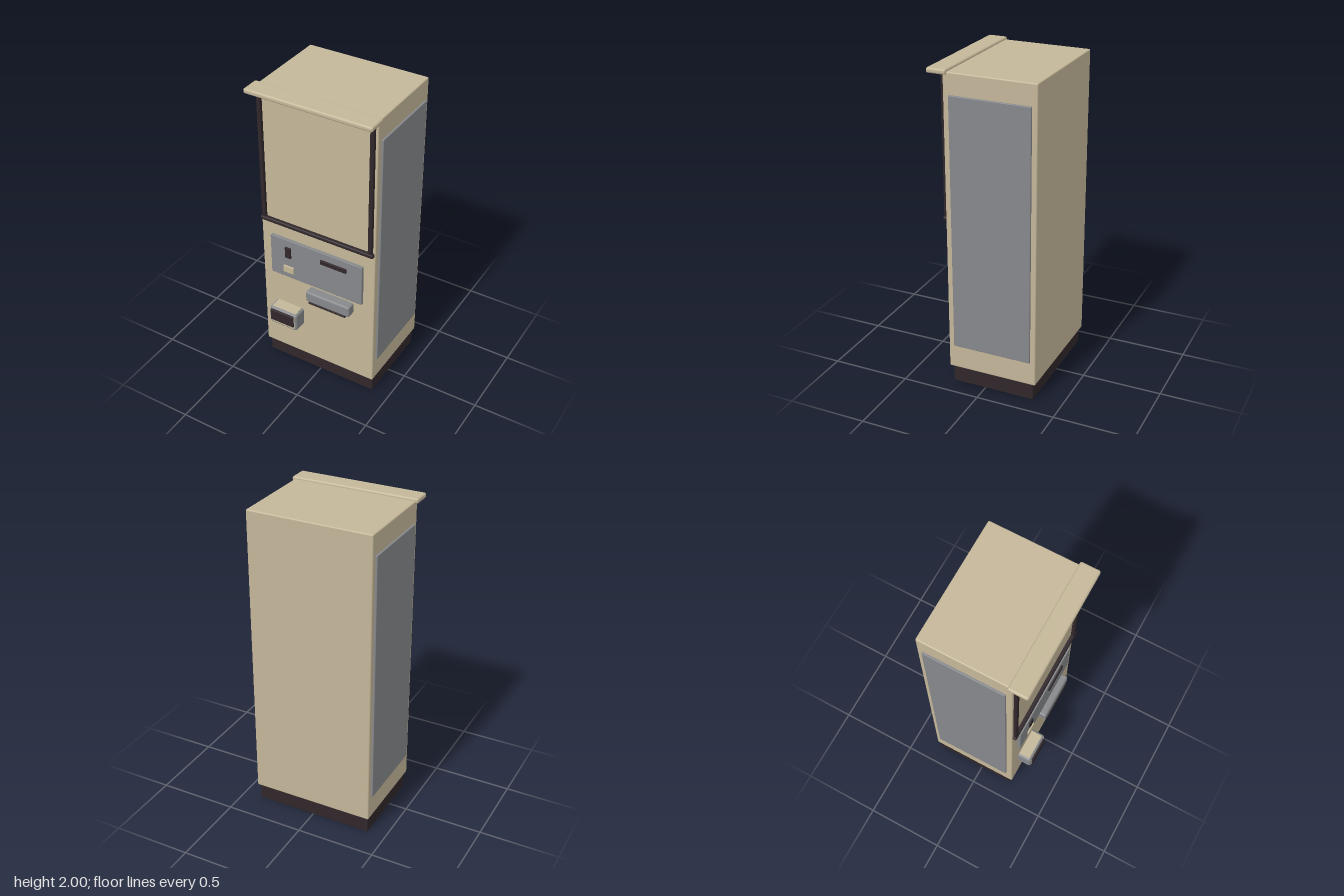
import * as THREE from 'three';
import { RoundedBoxGeometry } from 'three/addons/geometries/RoundedBoxGeometry.js';

function material(name, color) {
  const m = new THREE.MeshStandardMaterial({ color });
  m.name = name;
  return m;
}

export function createModel() {
  const group = new THREE.Group();
  group.name = 'vendingMachine';
  const cream = material('cream', 0xc4b799);
  const grey = material('grey', 0x86888b);
  const dark = material('darkBrown', 0x30272a);

  // Box given by its extents on each axis, with optional rounded edges
  function box(name, mat, [x0, x1], [y0, y1], [z0, z1], radius = 0) {
    const size = [x1 - x0, y1 - y0, z1 - z0];
    const geometry = radius
      ? new RoundedBoxGeometry(...size, 2, radius)
      : new THREE.BoxGeometry(...size);
    const mesh = new THREE.Mesh(geometry, mat);
    mesh.name = name;
    mesh.position.set((x0 + x1) / 2, (y0 + y1) / 2, (z0 + z1) / 2);
    group.add(mesh);
    return mesh;
  }

  // Cabinet, plinth and overhanging canopy
  box('plinth', dark, [-0.382, 0.382], [0, 0.112], [-0.317, 0.216], 0.004);
  box('cabinet', cream, [-0.393, 0.393], [0.107, 1.985], [-0.335, 0.238], 0.008);
  box('canopy', cream, [-0.408, 0.408], [1.968, 2], [0.212, 0.335], 0.012);

  // Side panels and display frame uprights
  for (const [side, s] of [['left', 1], ['right', -1]]) {
    const span = (a, b) => (s > 0 ? [a, b] : [-b, -a]);
    box(side + 'SidePanel', grey, span(0.385, 0.405), [0.262, 1.855], [-0.302, 0.2], 0.004);
    box(side + 'FrameUpright', dark, span(0.352, 0.378), [1.09, 1.972], [0.23, 0.258], 0.004);
  }
  box('frameSill', dark, [-0.388, 0.388], [1.083, 1.109], [0.23, 0.262], 0.008);

  // Control panel with slots and button
  box('controlPanel', grey, [-0.322, 0.318], [0.708, 0.989], [0.23, 0.258], 0.003);
  box('coinSlot', dark, [-0.215, -0.175], [0.862, 0.938], [0.25, 0.268], 0.002);
  box('billSlot', dark, [0.035, 0.214], [0.91, 0.939], [0.25, 0.268], 0.002);
  box('returnButton', cream, [-0.23, -0.156], [0.748, 0.796], [0.25, 0.268], 0.003);

  // Delivery shelf with dark lip
  box('shelf', grey, [-0.054, 0.253], [0.604, 0.68], [0.225, 0.296], 0.012);
  box('shelfLip', dark, [-0.03, 0.229], [0.598, 0.61], [0.23, 0.301], 0.002);

  // Change cup with cream facing and dark opening
  box('changeCup', grey, [-0.308, -0.107], [0.351, 0.476], [0.22, 0.327], 0.016);
  box('cupFacing', cream, [-0.294, -0.121], [0.366, 0.462], [0.324, 0.3285]);
  box('cupTop', cream, [-0.294, -0.121], [0.473, 0.477], [0.238, 0.312]);
  box('cupOpening', dark, [-0.293, -0.125], [0.384, 0.465], [0.32, 0.338], 0.004);

  return group;
}
